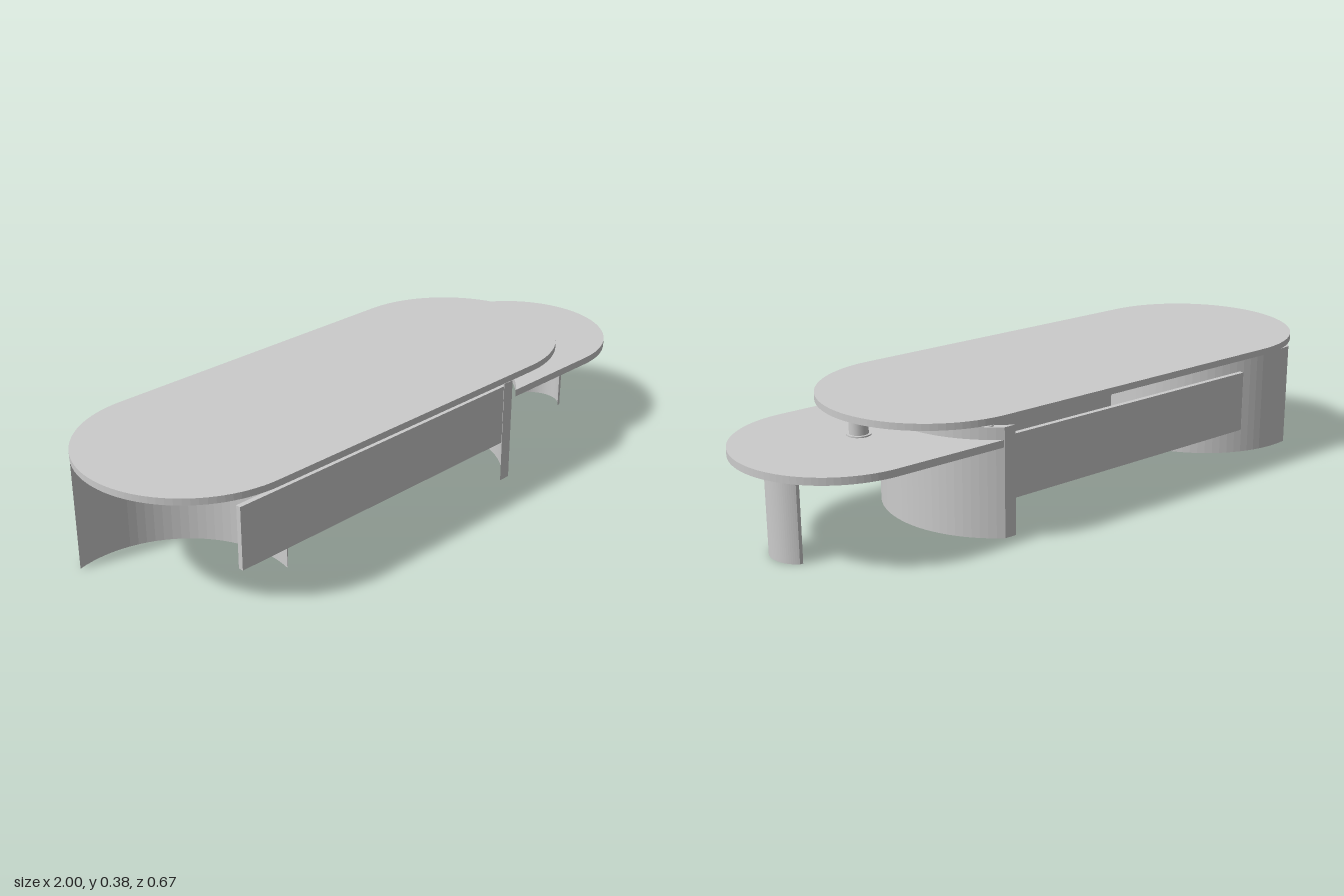
import * as THREE from 'three';

const grey = new THREE.MeshStandardMaterial({ color: 0xcccccc });

function add(parent, name, geometry, x = 0, y = 0, z = 0) {
  const mesh = new THREE.Mesh(geometry, grey);
  mesh.name = name;
  mesh.position.set(x, y, z);
  parent.add(mesh);
  return mesh;
}

// Plan outline raised upward from y = 0
function slab(shape, height, curveSegments) {
  const g = new THREE.ExtrudeGeometry(shape, { depth: height, bevelEnabled: false, curveSegments });
  return g.rotateX(-Math.PI / 2);
}

// Curved panel bulging to +x, ends cut flat; origin at the arc centre
const OUTER = 0.357, INNER = 0.336, HALF = 0.29;
function curvedPanel(height, scale = 1) {
  const ao = Math.asin(HALF / OUTER), ai = Math.asin(HALF / INNER);
  const s = new THREE.Shape();
  s.absarc(0, 0, OUTER * scale, -ao, ao, false);
  s.absarc(0, 0, INNER * scale, ai, -ai, true);
  s.closePath();
  return slab(s, height, 14);
}

// Small turned spacer with a flange at each end
function spacer(radius, flange, rim, height) {
  const pts = [[0, 0], [flange, 0], [flange, rim], [radius, rim],
    [radius, height - rim], [flange, height - rim], [flange, height], [0, height]];
  // doubled points keep the edges crisp
  const profile = pts.flatMap(([r, y]) => [new THREE.Vector2(r, y), new THREE.Vector2(r, y)]);
  return new THREE.LatheGeometry(profile, 16);
}

export function createModel() {
  const model = new THREE.Group();
  model.name = 'coffeeTable';

  // Main top with round ends
  const R = 0.337;
  const top = new THREE.Shape();
  top.absarc(0.373, 0, R, -Math.PI / 2, Math.PI / 2, false);
  top.absarc(-0.663, 0, R, Math.PI / 2, Math.PI * 1.5, false);
  top.closePath();
  add(model, 'tableTop', slab(top, 0.02, 24), 0, 0.365, 0);

  // Lower side shelf, its inner edge following the right panel
  const r = 0.297, gap = 0.368, a = Math.asin(r / gap);
  const shelf = new THREE.Shape();
  shelf.absarc(0.703, 0, r, -Math.PI / 2, Math.PI / 2, false);
  shelf.absarc(0.133, 0, gap, a, -a, true);
  shelf.closePath();
  add(model, 'sideShelf', slab(shelf, 0.022, 24), 0, 0.275, 0);
  add(model, 'shelfLeg', curvedPanel(0.275, 0.259), 0.826, 0, 0);
  add(model, 'shelfSpacer', spacer(0.028, 0.036, 0.004, 0.068), 0.628, 0.297, 0);

  // Two curved panel legs, each carrying three spacers
  const legs = [['leftLeg', 0.133, 0, 0], ['rightLeg', -0.844, 0.117, Math.PI / 4]];
  for (const [name, x, z, turn] of legs) {
    const leg = new THREE.Group();
    leg.name = name;
    leg.position.set(x, 0, z);
    leg.rotation.y = turn;
    add(leg, 'curvedPanel', curvedPanel(0.33));
    for (const t of [-0.84, 0, 0.84]) {
      add(leg, 'topSpacer', spacer(0.006, 0.008, 0.003, 0.035),
        0.345 * Math.cos(t), 0.33, 0.345 * Math.sin(t));
    }
    model.add(leg);
  }

  // Pair of long rails between the legs
  for (const side of [-1, 1]) {
    add(model, 'rail', new THREE.BoxGeometry(1.09, 0.195, 0.016), -0.155, 0.1775, side * 0.216);
  }
  return model;
}
